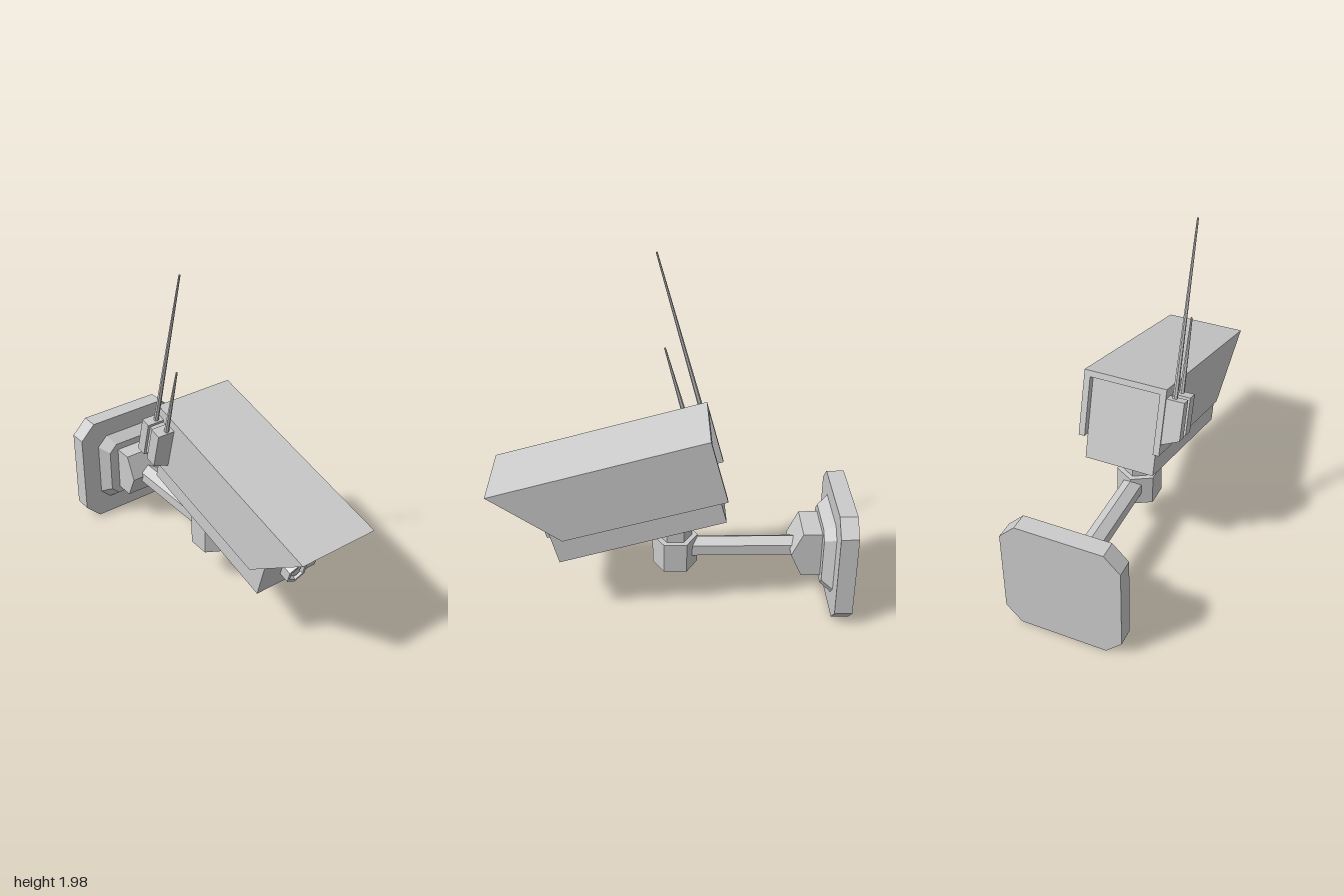
import * as THREE from 'three';

const TILT = THREE.MathUtils.degToRad(15);
const material = new THREE.MeshStandardMaterial({ color: 0xcccccc, flatShading: true });

function add(parent, name, geometry, x = 0, y = 0, z = 0) {
  const mesh = new THREE.Mesh(geometry, material);
  mesh.name = name;
  mesh.position.set(x, y, z);
  parent.add(mesh);
  return mesh;
}

function shapeOf(points) {
  return new THREE.Shape(points.map(([a, b]) => new THREE.Vector2(a, b)));
}

// Side profile given as [z, y], extruded across x between x0 and x1
function sideExtrude(points, x0, x1) {
  const geo = new THREE.ExtrudeGeometry(shapeOf(points), { depth: x1 - x0, bevelEnabled: false });
  return geo.rotateY(-Math.PI / 2).translate(x1, 0, 0);
}

// Square plate with cut corners; the front face is scaled to make a taper
function cutPlate(half, cut, depth, frontScale = 1) {
  const a = half, b = half - cut;
  const shape = shapeOf([[a, -b], [a, b], [b, a], [-b, a], [-a, b], [-a, -b], [-b, -a], [b, -a]]);
  const geo = new THREE.ExtrudeGeometry(shape, { depth, bevelEnabled: false });
  const p = geo.attributes.position;
  for (let i = 0; i < p.count; i++) {
    if (p.getZ(i) > depth / 2) p.setXY(i, p.getX(i) * frontScale, p.getY(i) * frontScale);
  }
  geo.computeVertexNormals();
  return geo;
}

// Six-sided lens: outer ring, recess and shallow faceted glass
function lens(r) {
  const profile = [[r, 0], [r, 0.06], [0.76 * r, 0.06], [0.68 * r, 0.04], [0.4 * r, 0.053], [0, 0.058]];
  const geo = new THREE.LatheGeometry(profile.map(([a, b]) => new THREE.Vector2(a, b)), 6);
  return geo.rotateX(Math.PI / 2);
}

export function createModel() {
  const model = new THREE.Group();
  model.name = 'securityCamera';

  // Hood: top panel and two side panels, open in front, behind and below
  const hood = new THREE.Group();
  hood.name = 'hood';
  model.add(hood);
  const tip = [1.0, 0.8], topBack = [-0.2, 1.128];
  add(hood, 'hoodTop', sideExtrude([tip, topBack, [-0.209, 1.094], [0.962, 0.774]], -0.235, 0.235));
  const sidePanel = [[0.962, 0.774], [-0.209, 1.094], [-0.298, 0.762], [0.6, 0.522]];
  add(hood, 'hoodRightSide', sideExtrude(sidePanel, -0.235, -0.2));
  add(hood, 'hoodLeftSide', sideExtrude(sidePanel, 0.2, 0.235));

  // Camera body
  add(model, 'body', sideExtrude([[0.625, 0.36], [0.751, 0.831], [-0.171, 1.078], [-0.295, 0.613]], -0.2, 0.2));

  // Lenses on the tilted front face
  for (const [name, r, y] of [['upperLens', 0.095, 0.715], ['lowerLens', 0.068, 0.473]]) {
    add(model, name, lens(r), -0.005, y, 0.625 + 0.268 * (y - 0.36)).rotation.x = TILT;
  }

  // Antenna unit on the right side of the hood
  const antennas = new THREE.Group();
  antennas.name = 'antennaUnit';
  antennas.position.set(0, 0.95, -0.158);
  antennas.rotation.x = TILT;
  model.add(antennas);
  const block = (name, z0, z1, inset) => {
    const top = 0.108 - inset, out = -0.335 + inset;
    const shape = shapeOf([[out, -0.108 + inset], [-0.233, -0.155 + inset], [-0.233, top], [out, top]]);
    const geo = new THREE.ExtrudeGeometry(shape, { depth: z1 - z0, bevelEnabled: false });
    add(antennas, name, geo, 0, 0, z0);
  };
  block('antennaBoxRear', -0.078, -0.021, 0);
  block('antennaBoxGroove', -0.021, 0.01, 0.015);
  block('antennaBoxFront', 0.01, 0.078, 0);
  for (const [name, z, end] of [['longAntenna', -0.042, 1.056], ['shortAntenna', 0.058, 0.523]]) {
    const start = 0.09;
    add(antennas, name, new THREE.CylinderGeometry(0.005, 0.014, end - start, 6), -0.27, (start + end) / 2, z);
  }

  // Swivel post, joint and arm
  add(model, 'post', new THREE.CylinderGeometry(0.096, 0.096, 0.25, 6), 0, 0.515, -0.018);
  add(model, 'joint', new THREE.CylinderGeometry(0.128, 0.128, 0.18, 6), 0, 0.315, -0.018);
  const arm = new THREE.CylinderGeometry(0.0625, 0.0625, 0.64, 6).rotateX(Math.PI / 2);
  add(model, 'arm', arm, 0, 0.328, -0.4);

  // Wall mount: wedge block, tapered step and base plate
  const wedge = [[-0.67, 0.337], [-0.733, 0.475], [-0.85, 0.475], [-0.85, 0.2], [-0.733, 0.2]];
  add(model, 'wallBlock', sideExtrude(wedge, -0.122, 0.122));
  add(model, 'wallStep', cutPlate(0.224, 0.06, 0.06, 0.8), 0, 0.337, -0.9);
  add(model, 'wallPlate', cutPlate(0.336, 0.09, 0.1), 0, 0.336, -1);

  return model;
}
